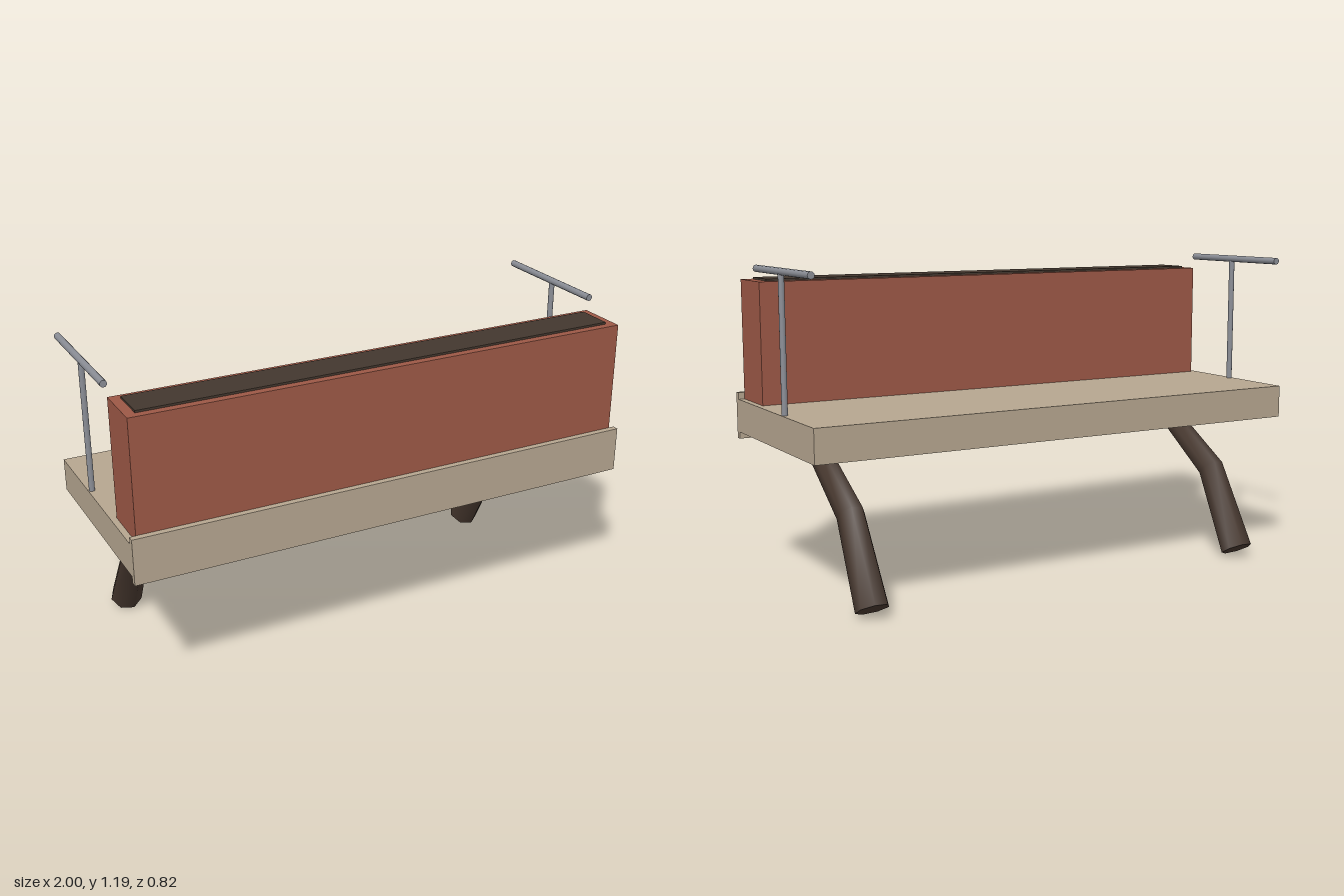
import * as THREE from 'three';
import { toCreasedNormals } from 'three/addons/utils/BufferGeometryUtils.js';

const material = (name, color) => {
  const m = new THREE.MeshStandardMaterial({ color });
  m.name = name;
  return m;
};

// Box given by its limits on each axis
function box(name, mat, [x0, x1], [y0, y1], [z0, z1]) {
  const mesh = new THREE.Mesh(new THREE.BoxGeometry(x1 - x0, y1 - y0, z1 - z0), mat);
  mesh.position.set((x0 + x1) / 2, (y0 + y1) / 2, (z0 + z1) / 2);
  mesh.name = name;
  return mesh;
}

// Seven-sided cylinder bent along a path of [z, y, radius] points
function legGeometry() {
  const path = [[0.34, 0.555, 0.036], [0.092, 0.511, 0.043], [-0.185, 0.336, 0.052], [-0.358, 0.036, 0.062]];
  const last = path.length - 1;
  const geo = new THREE.CylinderGeometry(1, 1, last, 7, last, false, -Math.PI / 2);
  const pos = geo.attributes.position;
  const direction = (a, b) => new THREE.Vector2(b[0] - a[0], b[1] - a[1]).normalize();
  for (let i = 0; i < pos.count; i++) {
    const k = Math.round(last / 2 - pos.getY(i));
    const [z, y, r] = path[k];
    // Tangent is the average of the neighbouring segments, giving mitred bends
    const t = new THREE.Vector2();
    if (k > 0) t.add(direction(path[k - 1], path[k]));
    if (k < last) t.add(direction(path[k], path[k + 1]));
    t.normalize();
    const across = pos.getZ(i) * r;
    pos.setXYZ(i, pos.getX(i) * r, y + across * t.x, z - across * t.y);
  }
  return toCreasedNormals(geo, 1.0);
}

export function createModel() {
  const stone = material('tan stone', 0xb5a58f);
  const brick = material('red brick', 0x9c5846);
  const soil = material('dark soil', 0x43372e);
  const wood = material('dark wood', 0x46372e);
  const metal = material('grey metal', 0x8a8d95);

  const model = new THREE.Group();
  model.name = 'balcony';

  // Deck, front board, long planter and its filling
  model.add(
    box('deck', stone, [-1, 1], [0.56, 0.685], [-0.36, 0.39]),
    box('frontBoard', stone, [-1, 1], [0.535, 0.71], [0.39, 0.414]),
    box('planter', brick, [-0.977, 0.977], [0.685, 1.135], [0.19, 0.39]),
    box('planterFilling', soil, [-0.94, 0.94], [1.135, 1.143], [0.22, 0.36])
  );

  const leg = legGeometry();
  for (const [side, s] of [['left', 1], ['right', -1]]) {
    // Curved support
    const support = new THREE.Mesh(leg, wood);
    support.name = side + 'Leg';
    support.position.x = 0.8 * s;
    model.add(support);

    // T-shaped handrail
    const rail = new THREE.Group();
    rail.name = side + 'Handrail';
    const post = new THREE.Mesh(new THREE.CylinderGeometry(0.011, 0.011, 0.5, 12), metal);
    post.name = 'post';
    post.position.set(0, 0.93, -0.058);
    const bar = new THREE.Mesh(new THREE.CylinderGeometry(0.013, 0.013, 0.525, 12), metal);
    bar.name = 'bar';
    bar.rotation.x = Math.PI / 2;
    bar.position.set(0, 1.184, -0.072);
    rail.add(post, bar);
    rail.position.x = 0.986 * s;
    model.add(rail);
  }
  return model;
}
